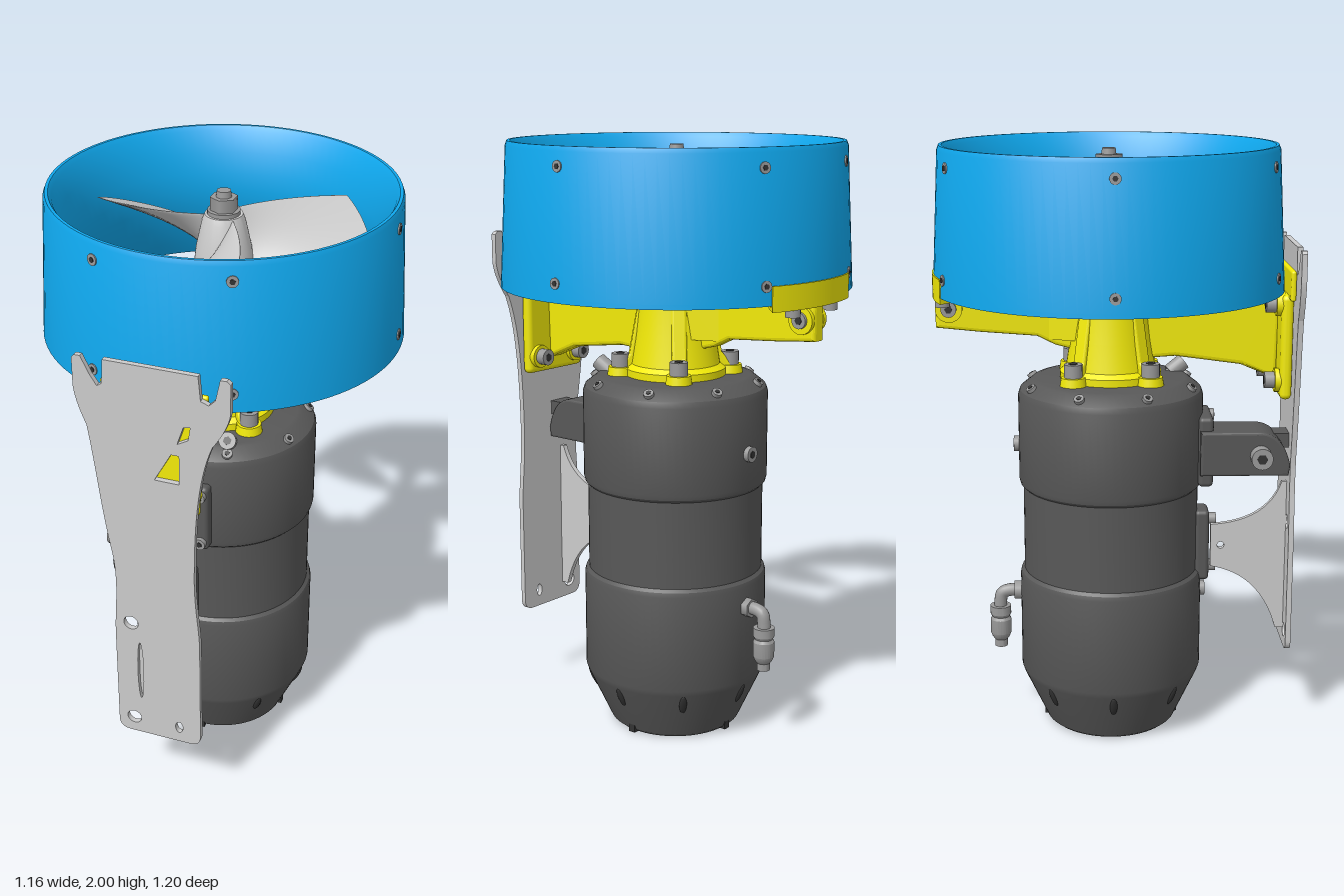
import * as THREE from 'three';
import { toCreasedNormals } from 'three/addons/utils/BufferGeometryUtils.js';
import { RoundedBoxGeometry } from 'three/addons/geometries/RoundedBoxGeometry.js';
import { ParametricGeometry } from 'three/addons/geometries/ParametricGeometry.js';

const AXIS_Z = -0.015; // motor and propeller axis
const mat = (color, side = THREE.FrontSide) => new THREE.MeshStandardMaterial({ color, side });
const BLUE = mat(0x0fa8ee), YELLOW = mat(0xf2ea08), DARK = mat(0x585858), BLACK = mat(0x333333);
const GREY = mat(0xcccccc), STEEL = mat(0x9a9a9a), BLADE = mat(0xcccccc, THREE.DoubleSide);
const V2 = (p) => new THREE.Vector2(p[0], p[1]);

export function createModel() {
  const model = new THREE.Group();

  function add(name, geometry, material, x = 0, y = 0, z = 0, parent = model) {
    const mesh = new THREE.Mesh(geometry, material);
    mesh.name = name;
    mesh.position.set(x, y, z);
    parent.add(mesh);
    return mesh;
  }
  const lathe = (points, n = 72) => toCreasedNormals(new THREE.LatheGeometry(points.map(V2), n), 0.45);
  // Side profile given as (z, y), extruded across x and centred on x = 0
  function sideProfile(shape, width, bevel = 0) {
    const g = new THREE.ExtrudeGeometry(shape, {
      depth: width - 2 * bevel, curveSegments: 16,
      bevelEnabled: bevel > 0, bevelSize: bevel, bevelThickness: bevel, bevelOffset: -bevel, bevelSegments: 3,
    });
    g.translate(0, 0, -width / 2 + bevel);
    g.rotateY(-Math.PI / 2);
    return g;
  }
  // Round-headed screw with a dark socket, pointing along dir
  function bolt(name, x, y, z, r, h, dir) {
    const group = new THREE.Group();
    group.name = name;
    group.position.set(x, y, z);
    group.quaternion.setFromUnitVectors(new THREE.Vector3(0, 1, 0), new THREE.Vector3(...dir).normalize());
    add('boltHead', new THREE.CylinderGeometry(r, r, h, 20), STEEL, 0, 0, 0, group);
    add('boltSocket', new THREE.CylinderGeometry(r * 0.5, r * 0.5, 0.002, 6), BLACK, 0, h / 2 + 0.001, 0, group);
    model.add(group);
  }

  // Motor housing with a waist and tapered foot
  add('motorHousing', lathe([
    [0, 0], [0.21, 0], [0.225, 0.012], [0.305, 0.185], [0.312, 0.205], [0.312, 0.535], [0.308, 0.55], [0.298, 0.56],
    [0.298, 0.855], [0.308, 0.865], [0.312, 0.88], [0.312, 1.17], [0.305, 1.19], [0.265, 1.222], [0.25, 1.226], [0, 1.226],
  ]), DARK, 0, 0, AXIS_Z);
  for (let i = 0; i < 8; i++) {
    const a = (i * Math.PI) / 4, s = Math.sin(a), c = Math.cos(a);
    const slot = add('footSlot', new THREE.SphereGeometry(1, 12, 10), BLACK, s * 0.287, 0.148, AXIS_Z + c * 0.287);
    slot.scale.set(0.013, 0.04, 0.008);
    slot.rotation.set(0.42, a, 0, 'YXZ');
    const b = a + Math.PI / 8, sb = Math.sin(b), cb = Math.cos(b);
    bolt('housingBolt', sb * 0.285, 1.208, AXIS_Z + cb * 0.285, 0.017, 0.02, [sb * 0.7, 1, cb * 0.7]);
  }
  for (const a of [0, Math.PI / 2, Math.PI])
    add('footNotch', new THREE.BoxGeometry(0.025, 0.05, 0.02), BLACK, Math.sin(a) * 0.223, 0.027, AXIS_Z + Math.cos(a) * 0.223).rotation.y = a;

  // Duct ring, hollow with a flared throat
  add('duct', lathe([
    [0.565, 1.53], [0.58, 1.53], [0.579, 1.545], [0.556, 1.985], [0.55, 2], [0.54, 2], [0.53, 1.985], [0.505, 1.92], [0.488, 1.85],
    [0.484, 1.79], [0.49, 1.73], [0.512, 1.65], [0.54, 1.58], [0.565, 1.53],
  ], 96), BLUE, 0, 0, -0.02);
  for (const deg of [22.5, 90, 157.5, 202.5, 270, 337.5]) {
    const a = THREE.MathUtils.degToRad(deg), s = Math.sin(a), c = Math.cos(a);
    bolt('ductBolt', s * 0.558, 1.94, -0.02 + c * 0.558, 0.018, 0.008, [s, 0.05, c]);
    bolt('ductBolt', s * 0.576, 1.59, -0.02 + c * 0.576, 0.018, 0.008, [s, 0.05, c]);
  }

  // Bearing carrier between the motor and the propeller
  add('bearingCarrier', lathe([
    [0, 1.22], [0.17, 1.22], [0.17, 1.25], [0.15, 1.265], [0.135, 1.36], [0.12, 1.5], [0.112, 1.65], [0.1, 1.66], [0, 1.66],
  ], 48), YELLOW, 0, 0, AXIS_Z);
  const ribShape = new THREE.Shape([[0.06, 1.225], [0.19, 1.225], [0.185, 1.26], [0.155, 1.3], [0.115, 1.52], [0.06, 1.54]].map(V2));
  for (const sx of [-1, 1]) for (const sz of [-1, 1]) {
    const a = Math.atan2(sx, sz);
    add('carrierRib', sideProfile(ribShape, 0.05, 0.008), YELLOW, 0, 0, AXIS_Z).rotation.y = a;
    add('carrierFoot', new THREE.CylinderGeometry(0.04, 0.045, 0.035, 24), YELLOW, sx * 0.135, 1.237, AXIS_Z + sz * 0.127);
    bolt('footBolt', sx * 0.135, 1.276, AXIS_Z + sz * 0.127, 0.03, 0.045, [0, 1, 0]);
  }

  // Arms that carry the duct and the front mounting flange
  const frontArm = new THREE.Shape([[0.05, 1.29], [0.2, 1.3], [0.42, 1.27], [0.54, 1.22], [0.55, 1.53], [0.05, 1.53]].map(V2));
  add('frontArm', sideProfile(frontArm, 0.075, 0.015), YELLOW);
  const rearArm = new THREE.Shape([[-0.05, 1.3], [-0.2, 1.34], [-0.26, 1.37], [-0.45, 1.385], [-0.595, 1.4], [-0.595, 1.53], [-0.05, 1.6]].reverse().map(V2));
  add('rearArm', sideProfile(rearArm, 0.055, 0.012), YELLOW);
  const webShape = new THREE.Shape([[-0.08, -0.09], [0.08, -0.09], [0.028, -0.22], [-0.028, -0.22]].map((p) => V2([p[0], -p[1]])));
  const web = add('rearArmWeb', new THREE.ExtrudeGeometry(webShape, { depth: 0.16, bevelEnabled: false }), YELLOW, 0, 1.36, 0);
  web.rotation.x = -Math.PI / 2;
  for (const s of [-1, 1]) {
    add('armLug', new THREE.CylinderGeometry(0.045, 0.045, 0.015, 28), YELLOW, s * 0.032, 1.465, -0.55).rotation.z = Math.PI / 2;
    bolt('lugBolt', s * 0.042, 1.465, -0.55, 0.026, 0.015, [s, 0, 0]);
    bolt('rearFlangeBolt', s * 0.1, 1.505, -0.565, 0.024, 0.04, [0, -1, 0]);
  }
  // Curved flange hugging the rear of the duct
  const arc = new THREE.Shape();
  arc.absarc(0, 0, 0.582, Math.PI / 2 - 0.36, Math.PI / 2 + 0.36, false);
  arc.absarc(0, 0, 0.568, Math.PI / 2 + 0.36, Math.PI / 2 - 0.36, true);
  add('rearFlange', new THREE.ExtrudeGeometry(arc, { depth: 0.065, bevelEnabled: false, curveSegments: 24 }), YELLOW, 0, 1.525, -0.02).rotation.x = -Math.PI / 2;
  const shelf = new THREE.Shape();
  shelf.absarc(0, 0, 0.582, Math.PI / 2 - 0.36, Math.PI / 2 + 0.36, false);
  shelf.absarc(0, 0, 0.5, Math.PI / 2 + 0.28, Math.PI / 2 - 0.28, true);
  add('rearFlangeShelf', new THREE.ExtrudeGeometry(shelf, { depth: 0.02, bevelEnabled: false, curveSegments: 24 }), YELLOW, 0, 1.51, -0.02).rotation.x = -Math.PI / 2;

  add('frontFlange', new RoundedBoxGeometry(0.27, 0.35, 0.04, 3, 0.018), YELLOW, 0, 1.345, 0.56);
  add('frontFlangeLip', new RoundedBoxGeometry(0.34, 0.1, 0.018, 3, 0.008), YELLOW, 0, 1.555, 0.571);
  for (const x of [-0.09, 0.09]) for (const y of [1.23, 1.485]) {
    add('flangeBoss', new THREE.CylinderGeometry(0.04, 0.04, 0.03, 24), YELLOW, x, y, 0.54).rotation.x = Math.PI / 2;
    bolt('flangeBolt', x, y, 0.512, 0.028, 0.04, [0, 0, -1]);
  }

  // Propeller
  const propeller = new THREE.Group();
  propeller.name = 'propeller';
  propeller.position.z = -0.02;
  model.add(propeller);
  add('propellerHub', lathe([[0, 1.66], [0.1, 1.66], [0.1, 1.7], [0.088, 1.8], [0.068, 1.89], [0.06, 1.91], [0, 1.91]], 48), GREY, 0, 0, 0, propeller);
  add('hubWasher', new THREE.CylinderGeometry(0.052, 0.052, 0.014, 32), STEEL, 0, 1.916, 0, propeller);
  add('hubNut', new THREE.CylinderGeometry(0.044, 0.044, 0.045, 6), STEEL, 0, 1.943, 0, propeller);
  add('shaftEnd', new THREE.CylinderGeometry(0.022, 0.025, 0.025, 24), STEEL, 0, 1.973, 0, propeller);
  const bladeSurface = (u, v, out) => {
    const t = Math.min(v / 0.97, 1), r = 0.06 + 0.408 * t;
    const halfChord = 0.05 + 0.24 * t - 0.115 * t * t;
    const rise = 0.11 - 0.035 * t;
    const thick = v > 0.97 ? 0 : 0.018 - 0.012 * t;
    const c = Math.cos(u * Math.PI * 2), a = (c * halfChord) / r;
    out.set(Math.sin(a) * r, 1.795 + c * rise + thick * Math.sin(u * Math.PI * 2), Math.cos(a) * r);
  };
  for (let i = 0; i < 3; i++)
    add('blade', new ParametricGeometry(bladeSurface, 40, 32), BLADE, 0, 0, 0, propeller).rotation.y = (i * Math.PI * 2) / 3;

  // Mounting plate with notches and cut-outs
  const plate = new THREE.Shape();
  plate.moveTo(-0.105, 0.28);
  plate.lineTo(0.105, 0.28);
  plate.quadraticCurveTo(0.145, 0.28, 0.145, 0.32);
  plate.lineTo(0.145, 0.68);
  plate.bezierCurveTo(0.145, 0.78, 0.125, 0.85, 0.13, 1.0);
  plate.bezierCurveTo(0.133, 1.2, 0.15, 1.35, 0.19, 1.45);
  plate.quadraticCurveTo(0.245, 1.53, 0.247, 1.58);
  for (const p of [[0.247, 1.67], [0.235, 1.68], [0.215, 1.68], [0.2, 1.61], [0.18, 1.59], [0.155, 1.6], [0.148, 1.68],
    [-0.15, 1.68], [-0.155, 1.6], [-0.17, 1.59], [-0.19, 1.62], [-0.22, 1.68], [-0.24, 1.68], [-0.248, 1.67]]) plate.lineTo(...p);
  plate.lineTo(-0.248, 1.58);
  plate.quadraticCurveTo(-0.245, 1.53, -0.21, 1.45);
  plate.bezierCurveTo(-0.185, 1.3, -0.175, 1.15, -0.145, 1.0);
  plate.bezierCurveTo(-0.125, 0.88, -0.145, 0.78, -0.145, 0.68);
  plate.lineTo(-0.145, 0.32);
  plate.quadraticCurveTo(-0.145, 0.28, -0.105, 0.28);
  const poly = (pts) => new THREE.Path(pts.map(V2));
  const oval = (x, y, rx, ry) => new THREE.Path().absellipse(x, y, rx, ry, 0, Math.PI * 2, true);
  plate.holes.push(
    poly([[0.005, 1.3], [0.06, 1.4], [0.085, 1.4], [0.085, 1.3]]), poly([[0.08, 1.44], [0.1, 1.5], [0.122, 1.505], [0.115, 1.46]]),
    oval(-0.09, 0.735, 0.025, 0.025), oval(-0.09, 0.34, 0.025, 0.025), oval(0.07, 0.34, 0.013, 0.022), oval(-0.062, 0.545, 0.01, 0.115),
  );
  add('mountingPlate', new THREE.ExtrudeGeometry(plate, { depth: 0.018, bevelEnabled: false, curveSegments: 16 }), GREY, 0, 0, 0.582);

  // Lower gusset joining plate and motor
  const gusset = new THREE.Shape();
  gusset.moveTo(0.585, 0.34);
  gusset.lineTo(0.585, 0.87);
  gusset.lineTo(0.565, 0.87);
  gusset.quadraticCurveTo(0.52, 0.73, 0.325, 0.72);
  gusset.lineTo(0.325, 0.57);
  gusset.quadraticCurveTo(0.5, 0.54, 0.555, 0.34);
  gusset.holes.push(oval(0.36, 0.645, 0.012, 0.012));
  add('gusset', sideProfile(gusset, 0.018), GREY, -0.062);
  add('gussetPad', new RoundedBoxGeometry(0.1, 0.25, 0.05, 3, 0.015), DARK, -0.03, 0.645, 0.295);
  for (const y of [0.56, 0.73]) bolt('padBolt', -0.03, y, 0.33, 0.02, 0.03, [0, 0, 1]);
  bolt('drainPlug', 0, 0.465, 0.302, 0.026, 0.02, [0, 0, 1]);

  // Upper clamp block
  const clamp = new THREE.Shape();
  clamp.moveTo(0.28, 0.915);
  clamp.lineTo(0.575, 0.915);
  clamp.lineTo(0.58, 0.95);
  clamp.quadraticCurveTo(0.555, 1.065, 0.47, 1.065);
  clamp.lineTo(0.28, 1.065);
  add('clampBlock', sideProfile(clamp, 0.16, 0.008), DARK, -0.075);
  add('clampPad', new RoundedBoxGeometry(0.2, 0.24, 0.05, 3, 0.015), DARK, -0.03, 0.99, 0.3);
  for (const y of [0.9, 1.08]) bolt('clampBolt', 0.045, y, 0.33, 0.02, 0.02, [0, 0, 1]);
  bolt('clampPin', -0.178, 0.985, 0.48, 0.036, 0.045, [-1, 0, 0]);
  add('clampRod', new THREE.BoxGeometry(0.08, 0.05, 0.11), DARK, -0.05, 1.02, 0.54);

  // Rear cable elbow, vent and breather
  const elbow = new THREE.CatmullRomCurve3([[-0.31, 0.465], [-0.37, 0.465], [-0.393, 0.455], [-0.4, 0.42], [-0.4, 0.38]].map((p) => new THREE.Vector3(0, p[1], p[0])));
  add('elbow', new THREE.TubeGeometry(elbow, 20, 0.022, 16), STEEL);
  add('elbowCollar', new THREE.CylinderGeometry(0.034, 0.034, 0.025, 6), STEEL, 0, 0.465, -0.338).rotation.x = Math.PI / 2;
  add('elbowNozzle', lathe([[0, 0.26], [0.022, 0.26], [0.022, 0.285], [0.03, 0.295], [0.036, 0.31], [0.036, 0.36], [0.03, 0.37], [0.036, 0.38], [0.036, 0.41], [0, 0.41]], 24), STEEL, 0, 0, -0.4);
  bolt('ventPlug', 0, 0.995, -0.333, 0.026, 0.022, [0, 0, -1]);
  bolt('breather', 0.1, 1.235, 0.215, 0.028, 0.06, [0.2, 0.6, 0.8]);
  add('breatherBase', new THREE.CylinderGeometry(0.018, 0.018, 0.06, 12), STEEL, 0.095, 1.215, 0.19).rotation.x = 0.9;

  return model;
}
